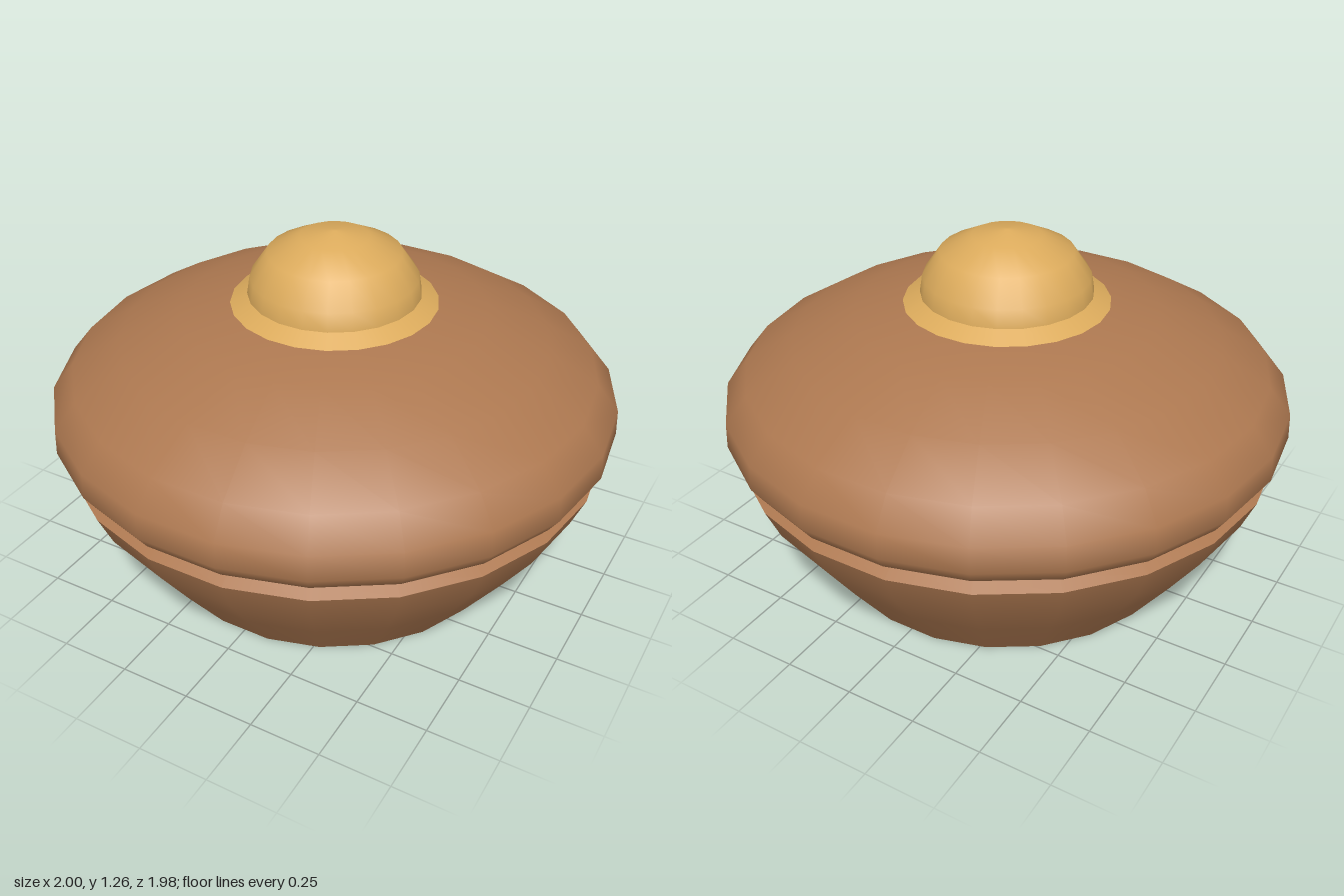
import * as THREE from 'three';

const SIDES = 22;

export function createModel() {
  const model = new THREE.Group();
  const brown = new THREE.MeshStandardMaterial({ color: 0xad7850 });
  brown.name = 'crust brown';
  const gold = new THREE.MeshStandardMaterial({ color: 0xdcab5c });
  gold.name = 'golden knob';

  // Turned surface; profiles run upwards for outer faces, downwards for inner ones
  function turned(name, material, profile) {
    const points = profile.map(([r, y]) => new THREE.Vector2(r, y));
    const mesh = new THREE.Mesh(new THREE.LatheGeometry(points, SIDES, Math.PI / 2), material);
    mesh.name = name;
    model.add(mesh);
  }

  // Flared bowl with a bottom ring around the opening
  turned('footRing', brown, [[0.58, 0], [0.65, 0]]);
  turned('bowl', brown, [[0.65, 0], [0.802, 0.21], [0.915, 0.375], [0.963, 0.488]]);
  turned('bowlRim', brown, [[0.963, 0.488], [0.915, 0.514]]);

  // Rounded lid
  turned('lid', brown, [
    [0.915, 0.514], [0.963, 0.54], [1, 0.595], [0.996, 0.685],
    [0.92, 0.78], [0.75, 0.883], [0.535, 0.973], [0.36, 1.005],
  ]);

  // Domed hollow, open at the bottom
  const hollow = [[0, 0.44]];
  for (let i = 0; i <= 8; i++) {
    const a = 0.03 + (i / 8) * (Math.PI / 2 - 0.03);
    hollow.push([0.58 * Math.sin(a), 0.44 * Math.cos(a)]);
  }
  turned('hollow', brown, hollow);

  // Knob with its sloping collar
  turned('knobCollar', gold, [[0.36, 1.005], [0.3, 1.038]]);
  turned('knob', gold, [
    [0.3, 1.038], [0.29, 1.1], [0.23, 1.187], [0.12, 1.242], [0.01, 1.263], [0, 1.263],
  ]);

  return model;
}
